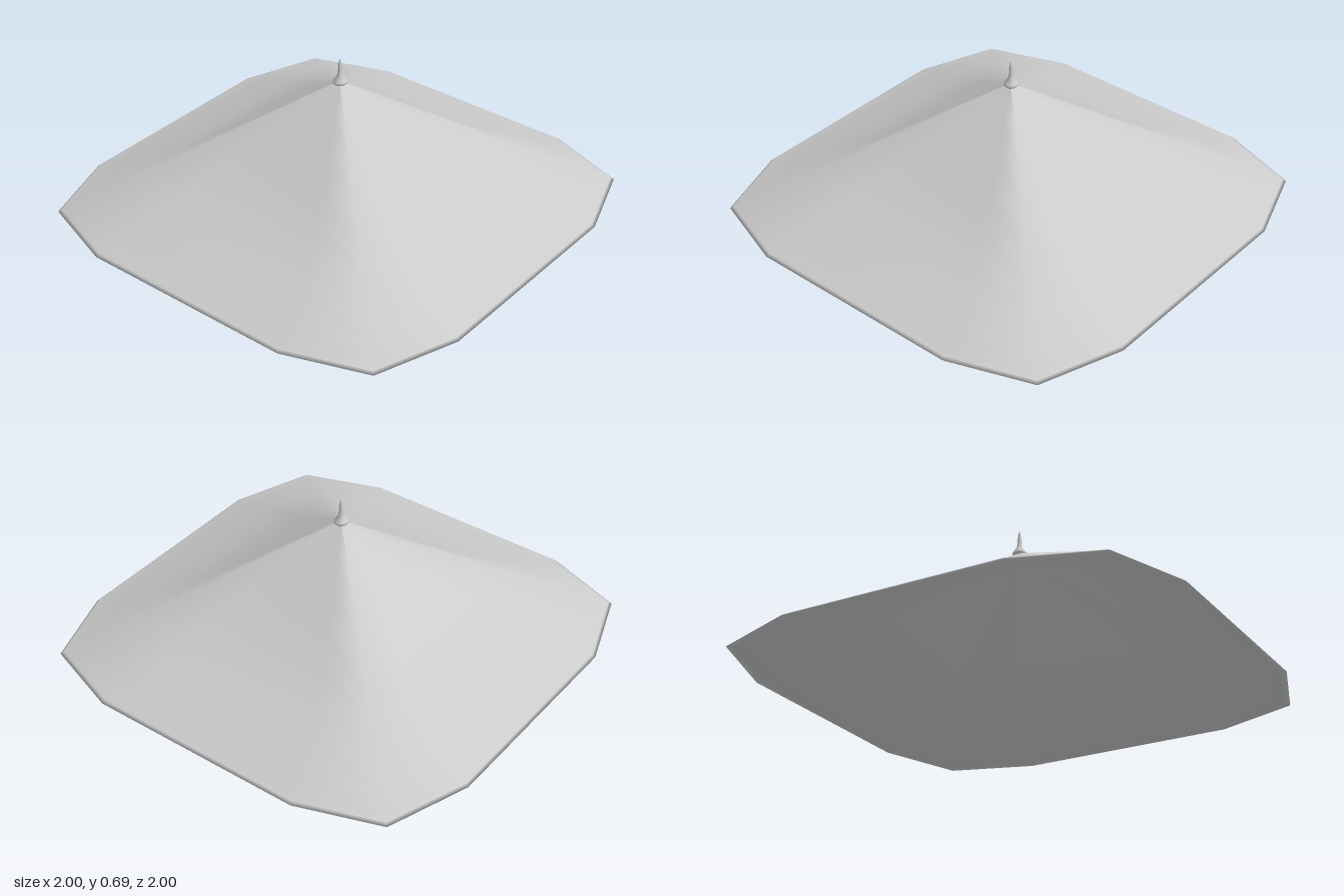
import * as THREE from 'three';

const grey = new THREE.MeshStandardMaterial({ color: 0xcccccc, side: THREE.DoubleSide });
const APEX = 0.585;

// Twelve-sided ring: hip corners at (h, h), flat sides at distance a, half width w
function ring(h, a, w, y) {
  const points = [];
  for (let k = 0; k < 4; k++) {
    for (let [x, z] of [[a, -w], [a, w], [h, h]]) {
      for (let i = 0; i < k; i++) [x, z] = [-z, x];
      points.push(x, y, z);
    }
  }
  return points;
}

// Skin closed twelve-point rings, from the apex outwards
function loft(rings) {
  const n = 12, index = [];
  for (let i = 0; i < rings.length - 1; i++) {
    for (let j = 0; j < n; j++) {
      const a = i * n + j, b = i * n + (j + 1) % n;
      index.push(a, b, a + n, b, b + n, a + n);
    }
  }
  const geo = new THREE.BufferGeometry();
  geo.setAttribute('position', new THREE.Float32BufferAttribute(rings.flat(), 3));
  geo.setIndex(index);
  geo.computeVertexNormals();
  return geo;
}

export function createModel() {
  const group = new THREE.Group();

  // Straight hips; the sides start as a pyramid and flare out towards the eaves
  // [fraction down the hip, distance of the side]
  const profile = [[0.015, 0.013], [0.15, 0.127], [0.3, 0.253], [0.45, 0.381],
    [0.6, 0.517], [0.7, 0.625], [0.8, 0.746], [0.9, 0.872], [0.975, 0.968]];
  const outer = profile.map(([t, a]) => ring(0.87 * t, a, 0.5 * t, APEX * (1 - t)));
  const under = profile.map(([t, a]) => ring(0.87 * t, a, 0.5 * t, Math.max(0, APEX * (1 - t) - 0.015)));

  // Thin eave lip joins the top skin and the underside
  const lip = [ring(0.859, 0.987, 0.494, 0.012), ring(0.87, 1, 0.5, 0)];
  const roof = new THREE.Mesh(loft([...outer, ...lip, ...under.reverse()]), grey);
  roof.name = 'roof';
  group.add(roof);

  // Turned finial with a collar and a slender spike
  const spike = [[0, 0.565], [0.022, 0.567], [0.032, 0.577], [0.03, 0.586], [0.023, 0.591], [0.022, 0.598],
    [0.014, 0.608], [0.01, 0.63], [0.009, 0.655], [0.005, 0.68], [0, 0.692]];
  const finial = new THREE.Mesh(
    new THREE.LatheGeometry(spike.map(([r, y]) => new THREE.Vector2(r, y)), 16), grey);
  finial.name = 'finial';
  group.add(finial);

  return group;
}
